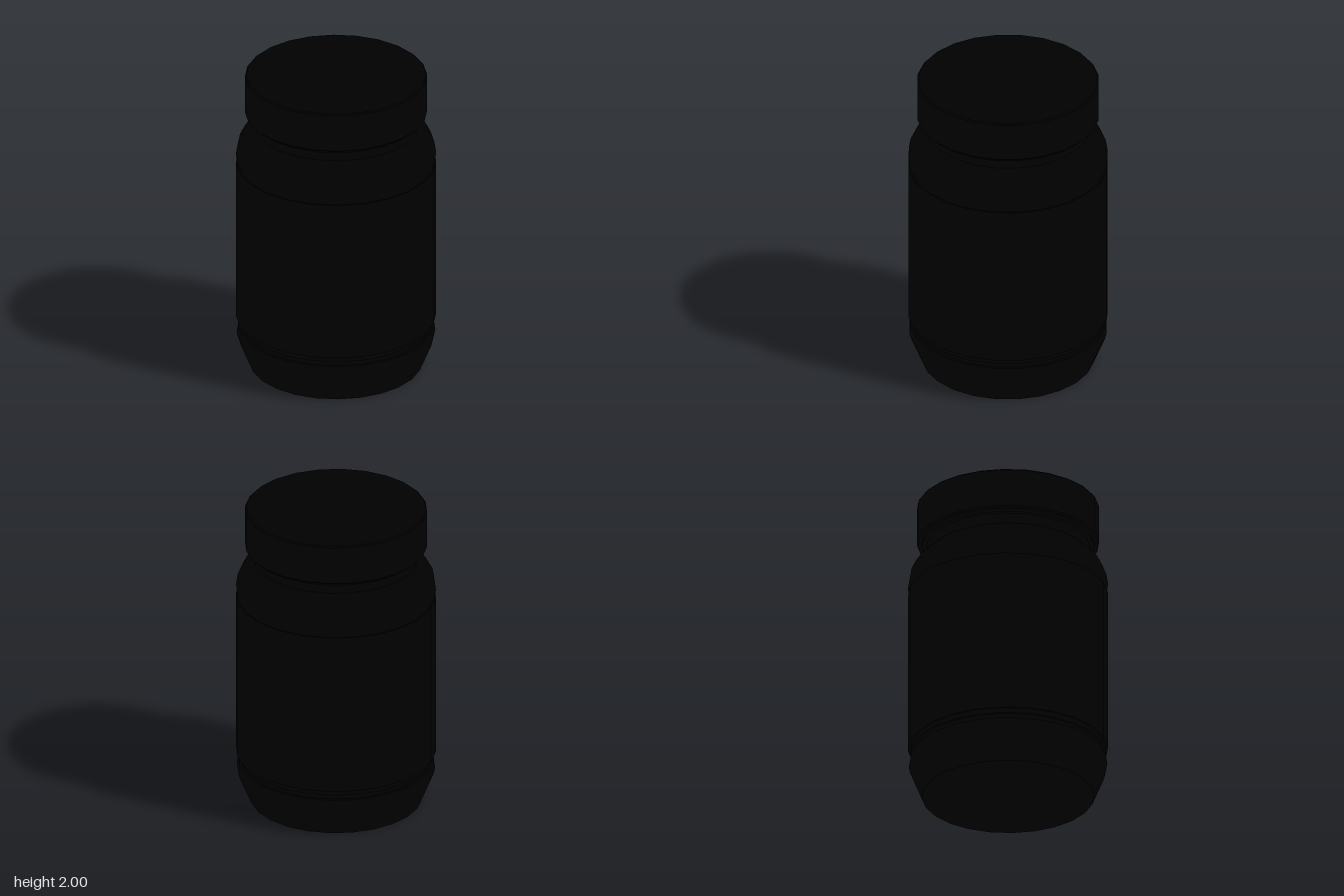
import * as THREE from 'three';
import { toCreasedNormals } from 'three/addons/utils/BufferGeometryUtils.js';

const SIDES = 24;

export function createModel() {
  const jar = new THREE.Group();
  jar.name = 'jar';
  const black = new THREE.MeshStandardMaterial({ color: 0x000000 });

  // Turned part from a bottom-to-top profile of [radius, height]
  function turned(name, profile) {
    const points = profile.map(([r, y]) => new THREE.Vector2(r, y));
    const geometry = toCreasedNormals(new THREE.LatheGeometry(points, SIDES), 0.6);
    const mesh = new THREE.Mesh(geometry, black);
    mesh.name = name;
    jar.add(mesh);
  }

  // Tapered foot with a closed underside and a rounded upper rim
  turned('base', [
    [0, 0], [0.54, 0], [0.614, 0.18], [0.622, 0.215], [0.614, 0.262], [0.598, 0.265],
  ]);

  // Recessed ring and small step below the straight wall
  turned('lowerGroove', [
    [0.598, 0.265], [0.598, 0.296], [0.614, 0.296], [0.614, 0.328], [0.627, 0.328],
  ]);

  // Straight wall
  turned('body', [[0.627, 0.328], [0.627, 1.393], [0.617, 1.393]]);

  // Rounded shoulder narrowing to the neck
  turned('shoulder', [
    [0.617, 1.393], [0.627, 1.45], [0.616, 1.52], [0.58, 1.588], [0.513, 1.65],
  ]);

  turned('neck', [[0.513, 1.65], [0.513, 1.718]]);

  // Tamper ring under the lid
  turned('lidRing', [[0.513, 1.718], [0.543, 1.718], [0.543, 1.738]]);

  // Lid with small bevels on both edges
  turned('lid', [
    [0.543, 1.738], [0.563, 1.738], [0.571, 1.746],
    [0.571, 1.99], [0.562, 2], [0, 2],
  ]);

  return jar;
}
